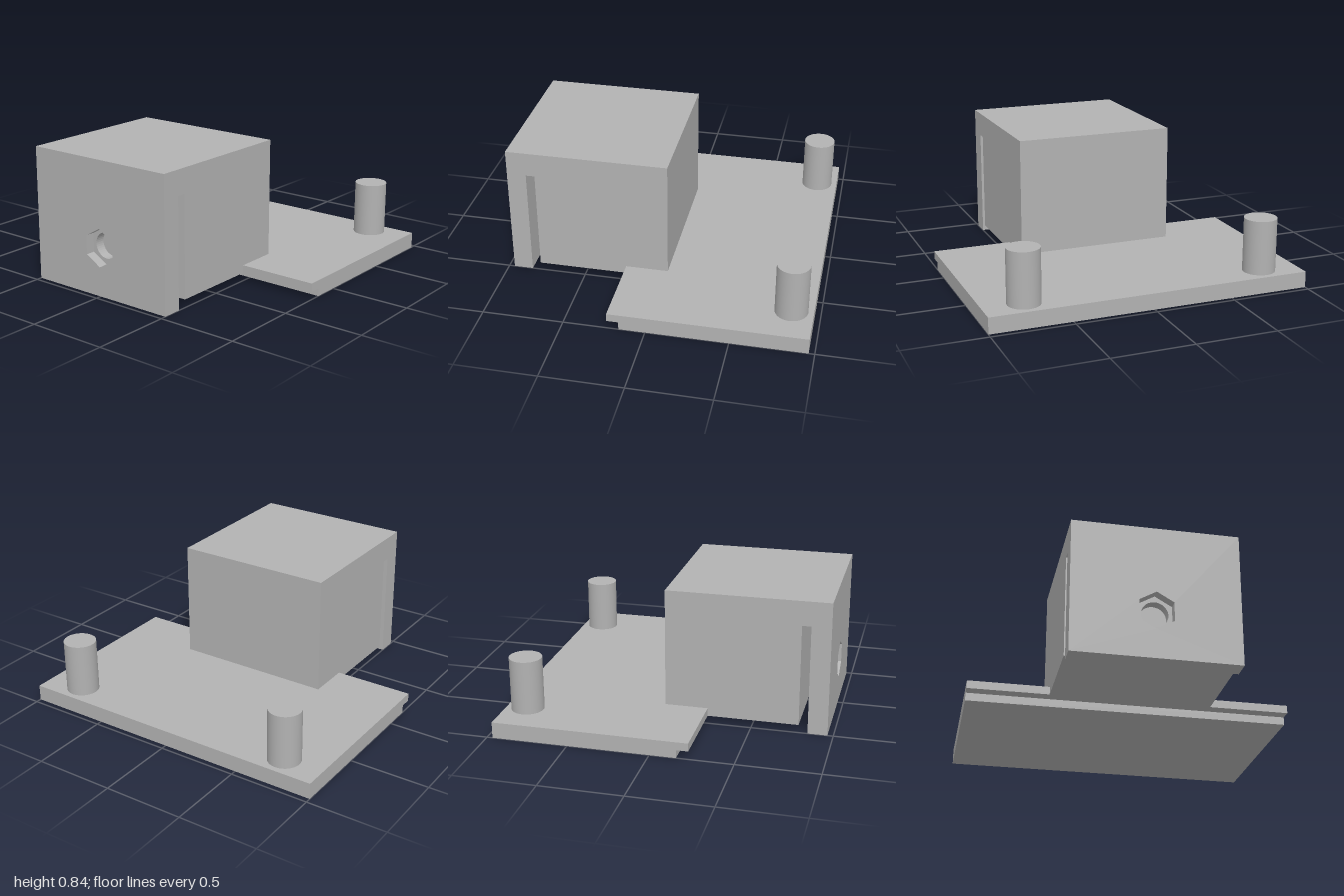
import * as THREE from 'three';

const grey = new THREE.MeshStandardMaterial({ color: 0xb2b2b2 });
grey.name = 'grey plastic';

function add(group, name, geometry) {
  const mesh = new THREE.Mesh(geometry, grey);
  mesh.name = name;
  group.add(mesh);
  return mesh;
}

// Box given by its x, y and z limits
function block(x0, x1, y0, y1, z0, z1) {
  return new THREE.BoxGeometry(x1 - x0, y1 - y0, z1 - z0)
    .translate((x0 + x1) / 2, (y0 + y1) / 2, (z0 + z1) / 2);
}

// Upright slab facing the x axis, with a regular hole of the given sides
function holedSlab(x0, x1, radius, sides) {
  const shape = new THREE.Shape([
    new THREE.Vector2(-0.5, 0), new THREE.Vector2(0.5, 0),
    new THREE.Vector2(0.5, 0.835), new THREE.Vector2(-0.5, 0.835),
  ]);
  const points = [];
  for (let i = 0; i < sides; i++) {
    const a = Math.PI / 2 - (i / sides) * Math.PI * 2;
    points.push(new THREE.Vector2(Math.cos(a) * radius, 0.3 + Math.sin(a) * radius));
  }
  shape.holes.push(new THREE.Path(points));
  return new THREE.ExtrudeGeometry(shape, { depth: x1 - x0, bevelEnabled: false })
    .rotateY(Math.PI / 2).translate(x0, 0, 0);
}

export function createModel() {
  const model = new THREE.Group();
  model.name = 'clipOnBracket';

  // Base plate with a stepped edge
  add(model, 'basePlateUpper', block(-0.232, 0.965, 0.05, 0.1, -1, 1));
  add(model, 'basePlateLower', block(-0.16, 0.965, 0, 0.05, -1, 1));

  // Clip: solid body, bridge over the slot, outer wall
  add(model, 'clipBody', block(-0.79, 0.033, 0.05, 0.835, -0.5, 0.5));
  add(model, 'slotBridge', block(-0.845, -0.79, 0.683, 0.835, -0.5, 0.5));

  // Outer wall: hexagonal nut pocket outside, round screw hole inside
  add(model, 'clipWallNutPocket', holedSlab(-0.965, -0.905, 0.118, 6));
  add(model, 'clipWallScrewHole', holedSlab(-0.905, -0.845, 0.08, 40));

  // Two upright pegs
  for (const side of [-1, 1]) {
    const peg = add(model, side > 0 ? 'frontPeg' : 'backPeg',
      new THREE.CylinderGeometry(0.1, 0.1, 0.335, 48));
    peg.position.set(0.831, 0.2675, side * 0.75);
  }
  return model;
}
